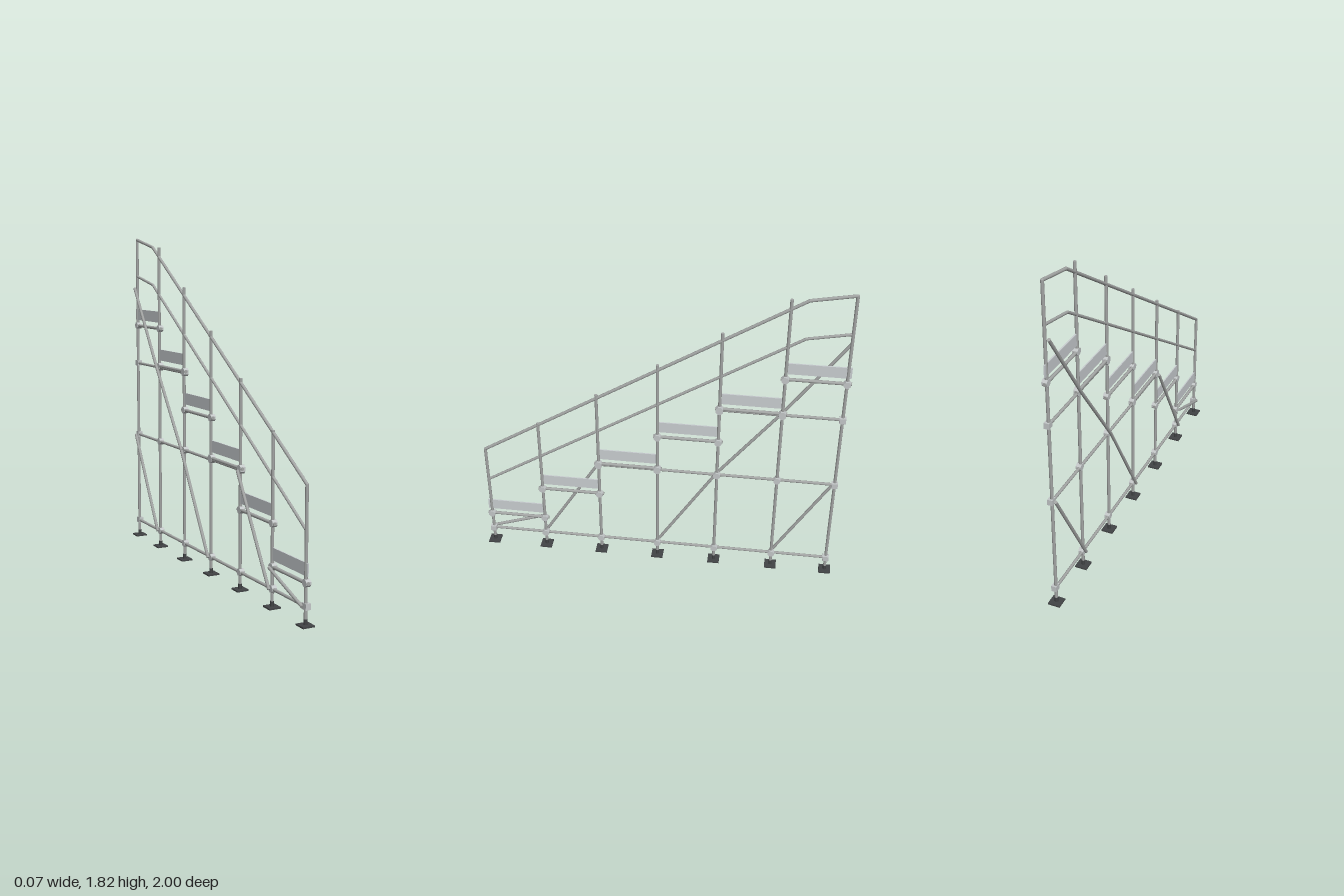
import * as THREE from 'three';

export function createModel() {
  const model = new THREE.Group();
  model.name = 'stairScaffoldFrame';

  const mat = (name, color) => {
    const m = new THREE.MeshStandardMaterial({ color });
    m.name = name;
    return m;
  };
  const steel = mat('galvanised steel', 0xa3a5a4);
  const clamp = mat('clamp grey', 0xc3c7c8);
  const board = mat('board grey', 0xc9ced1);
  const dark = mat('dark iron', 0x424446);

  const add = (name, geo, material, x, y, z) => {
    const mesh = new THREE.Mesh(geo, material);
    mesh.name = name;
    mesh.position.set(x, y, z);
    model.add(mesh);
    return mesh;
  };

  // Straight pipe between two (z, y) points at a given x
  const up = new THREE.Vector3(0, 1, 0);
  const pipe = (name, [z1, y1], [z2, y2], r = 0.008, x = 0) => {
    const d = new THREE.Vector3(0, y2 - y1, z2 - z1);
    const geo = new THREE.CylinderGeometry(r, r, d.length(), 12);
    const mesh = add(name, geo, steel, x, (y1 + y2) / 2, (z1 + z2) / 2);
    mesh.quaternion.setFromUnitVectors(up, d.normalize());
  };

  const postZ = [0.967, 0.656, 0.328, 0, -0.328, -0.656, -0.967];
  const postTop = [0.68, 0.89, 1.11, 1.33, 1.55, 1.77, 1.815];
  const treadY = [0.21, 0.428, 0.645, 0.865, 1.083, 1.302];
  const groundY = 0.097, middleY = 0.637, upperY = 1.075;

  // Clamps: a faceted eight-sided drum across the post, square blocks on ledger ends
  const drum = new THREE.CylinderGeometry(0.02, 0.02, 0.028, 8).toNonIndexed();
  drum.rotateZ(Math.PI / 2).rotateX(Math.PI / 8);
  drum.computeVertexNormals();
  const block = new THREE.BoxGeometry(0.028, 0.032, 0.034);
  const addClamp = (y, z, geo = drum) => add('clamp', geo, clamp, 0.004, y, z);

  // Posts on screw jacks with square foot plates
  postZ.forEach((z, i) => {
    pipe('post', [z, 0.03], [z, postTop[i]], 0.0085);
    add('footPlate', new THREE.BoxGeometry(0.066, 0.008, 0.066), dark, 0, 0.004, z);
    add('jackSpindle', new THREE.CylinderGeometry(0.0095, 0.0095, 0.03, 12), dark, 0, 0.02, z);
  });

  // Horizontal ledgers, each running from one post to the back, clamped at every post
  [[groundY, 0], [middleY, 2], [upperY, 4]].forEach(([y, first]) => {
    pipe('ledger', [postZ[first], y], [postZ[6], y]);
    for (let i = first; i < 7; i++) addClamp(y, postZ[i], i === 0 || i === 6 ? block : drum);
  });

  // Step bearers with a guard board above each
  treadY.forEach((y, i) => {
    const a = postZ[i], b = postZ[i + 1];
    pipe('stepBearer', [a + 0.024, y], [b - 0.024, y], 0.009);
    addClamp(y, a);
    addClamp(y, b);
    const front = i === 0 ? 0.985 : a - 0.009;
    const back = i === 5 ? -0.985 : b + 0.009;
    add('guardBoard', new THREE.BoxGeometry(0.007, 0.064, front - back),
      board, 0, y + 0.066, (front + back) / 2);
  });

  // Hand rail and knee rail, bending near the top
  const rail = (name, r, ...pts) => {
    for (let i = 0; i < pts.length - 1; i++) pipe(name, pts[i], pts[i + 1], r);
    pts.forEach(([z, y]) => add(name + 'Joint', new THREE.SphereGeometry(r, 12, 8), steel, 0, y, z));
  };
  rail('handRail', 0.0085, [0.967, 0.68], [-0.742, 1.77], [-0.967, 1.814]);
  rail('kneeRail', 0.0075, [0.967, 0.462], [-0.742, 1.552], [-0.967, 1.597]);

  // Diagonal braces on the right-hand face
  [
    [[0.967, groundY], [0.656, 0.208]],
    [[0.656, groundY], [0.328, middleY]],
    [[0, groundY], [-0.328, middleY]],
    [[-0.328, middleY], [-0.656, upperY]],
    [[-0.656, upperY], [-0.967, 1.527]],
    [[-0.656, groundY], [-0.967, middleY]],
  ].forEach(([a, b]) => pipe('brace', a, b, 0.0085, -0.019));

  return model;
}
